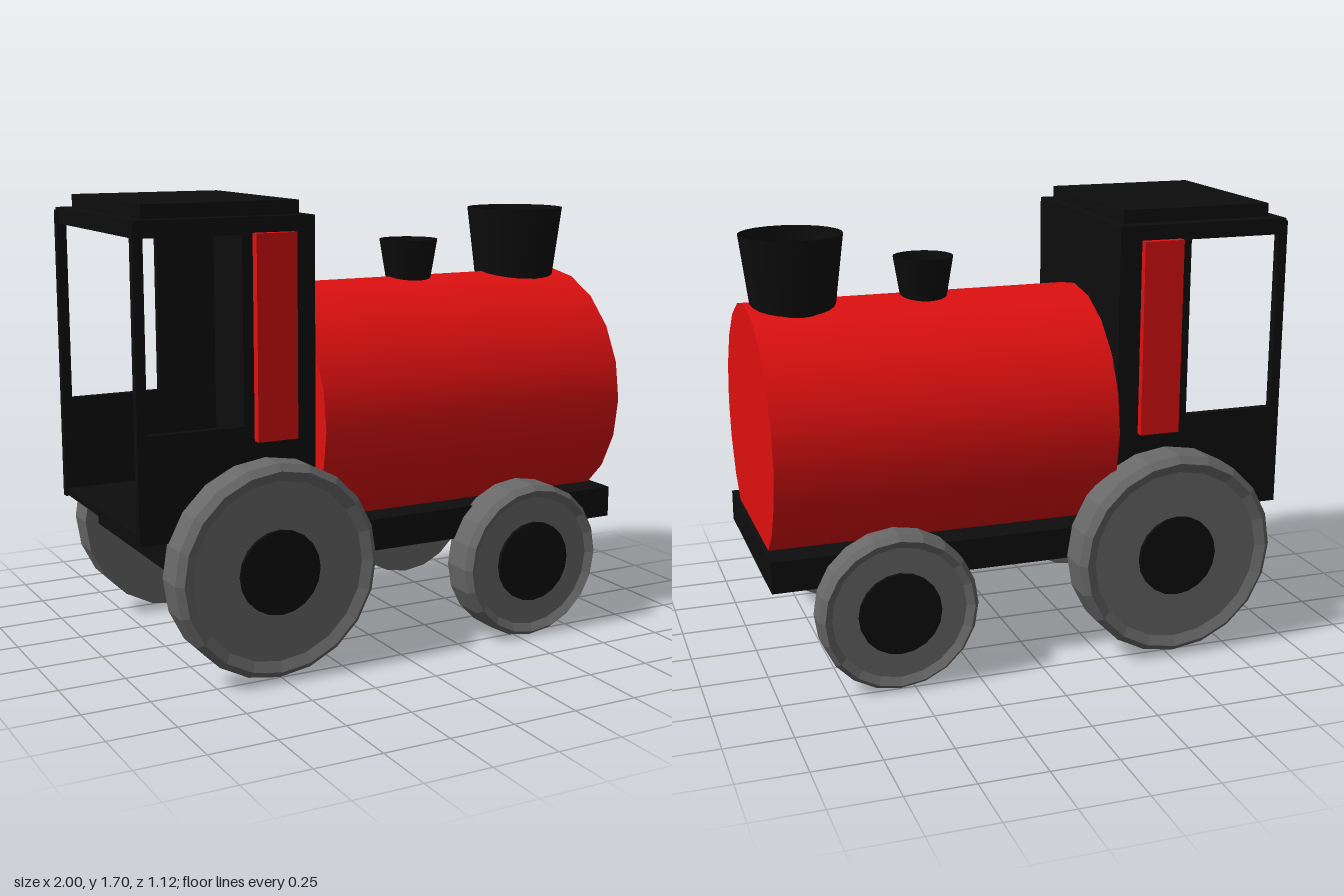
import * as THREE from 'three';

const material = (color, side = THREE.FrontSide, flatShading = false) =>
  new THREE.MeshStandardMaterial({ color, side, flatShading });
const red = material(0xe01010);
const black = material(0x0d0d0d);
const blackOpen = material(0x0d0d0d, THREE.DoubleSide);
const grey = material(0x686868, THREE.FrontSide, true);

function add(parent, name, geometry, mat) {
  const mesh = new THREE.Mesh(geometry, mat);
  mesh.name = name;
  parent.add(mesh);
  return mesh;
}

// Box given by its lower and upper limits on each axis
function box(parent, name, [x0, x1], [y0, y1], [z0, z1], mat) {
  const mesh = add(parent, name, new THREE.BoxGeometry(x1 - x0, y1 - y0, z1 - z0), mat);
  mesh.position.set((x0 + x1) / 2, (y0 + y1) / 2, (z0 + z1) / 2);
  return mesh;
}

// Wheel with a chamfered rim, a sunken face and a dark hub; its axis is z
function wheel(parent, name, radius, x, y, side, outerZ) {
  const group = new THREE.Group();
  group.name = name;
  const w = outerZ - 0.415;
  const profile = [
    [0, 0], [radius, 0], [radius, w - 0.025], [radius * 0.935, w],
    [radius * 0.84, w - 0.018], [0, w - 0.018],
  ].map(([r, h]) => new THREE.Vector2(r, h));
  add(group, 'tyre', new THREE.LatheGeometry(profile, 20), grey).rotation.x = Math.PI / 2;
  const hub = add(group, 'hub', new THREE.CylinderGeometry(0.155, 0.155, 0.06, 20), black);
  hub.rotation.x = Math.PI / 2;
  hub.position.z = w - 0.034;
  group.position.set(x, y, side * 0.415);
  if (side < 0) group.rotation.y = Math.PI;
  parent.add(group);
}

// Open flared pipe
function chimney(parent, name, x, y0, y1, bottom, top) {
  const geometry = new THREE.CylinderGeometry(top, bottom, y1 - y0, 24, 1, true);
  add(parent, name, geometry, blackOpen).position.set(x, (y0 + y1) / 2, 0.005);
}

function cab(parent) {
  const group = new THREE.Group();
  group.name = 'cab';
  parent.add(group);
  box(group, 'floor', [-0.985, -0.32], [0.535, 0.565], [-0.41, 0.42], black);
  box(group, 'frontWall', [-0.36, -0.32], [0.535, 1.62], [-0.41, 0.42], black);
  box(group, 'roof', [-0.99, -0.32], [1.59, 1.65], [-0.415, 0.425], black);
  box(group, 'roofCap', [-0.945, -0.355], [1.64, 1.7], [-0.355, 0.37], black);

  // Side wall with a window opening
  const wall = new THREE.Shape([
    [-0.997, 0.535], [-0.32, 0.535], [-0.32, 1.64], [-0.997, 1.64],
  ].map(([x, y]) => new THREE.Vector2(x, y)));
  wall.holes.push(new THREE.Path([
    [-0.96, 0.92], [-0.96, 1.59], [-0.6, 1.59], [-0.6, 0.92],
  ].map(([x, y]) => new THREE.Vector2(x, y))));
  const wallGeometry = new THREE.ExtrudeGeometry(wall, { depth: 0.03, bevelEnabled: false });
  for (const z of [-0.415, 0.395]) add(group, 'sideWall', wallGeometry, black).position.z = z;

  // Red strips beside the windows
  box(group, 'sidePanel', [-0.56, -0.405], [0.865, 1.595], [0.42, 0.458], red);
  box(group, 'sidePanel', [-0.56, -0.405], [0.865, 1.595], [-0.445, -0.41], red);
}

export function createModel() {
  const model = new THREE.Group();
  model.name = 'toyLocomotive';

  box(model, 'platform', [-0.86, 1], [0.4, 0.52], [-0.415, 0.43], black);

  // Boiler lying along x, with a corner of its outline at the top
  const boiler = add(model, 'boiler', new THREE.CylinderGeometry(0.48, 0.48, 1.295, 20), red);
  boiler.rotation.z = -Math.PI / 2;
  boiler.position.set(0.338, 0.888, 0.01);

  chimney(model, 'smallChimney', 0.305, 1.345, 1.512, 0.086, 0.114);
  chimney(model, 'largeChimney', 0.805, 1.33, 1.622, 0.155, 0.192);
  cab(model);

  wheel(model, 'rearWheel', 0.393, -0.52, 0.41, 1, 0.555);
  wheel(model, 'rearWheel', 0.393, -0.52, 0.41, -1, 0.563);
  wheel(model, 'frontWheel', 0.3, 0.553, 0.303, 1, 0.56);
  wheel(model, 'frontWheel', 0.3, 0.553, 0.303, -1, 0.522);
  return model;
}
